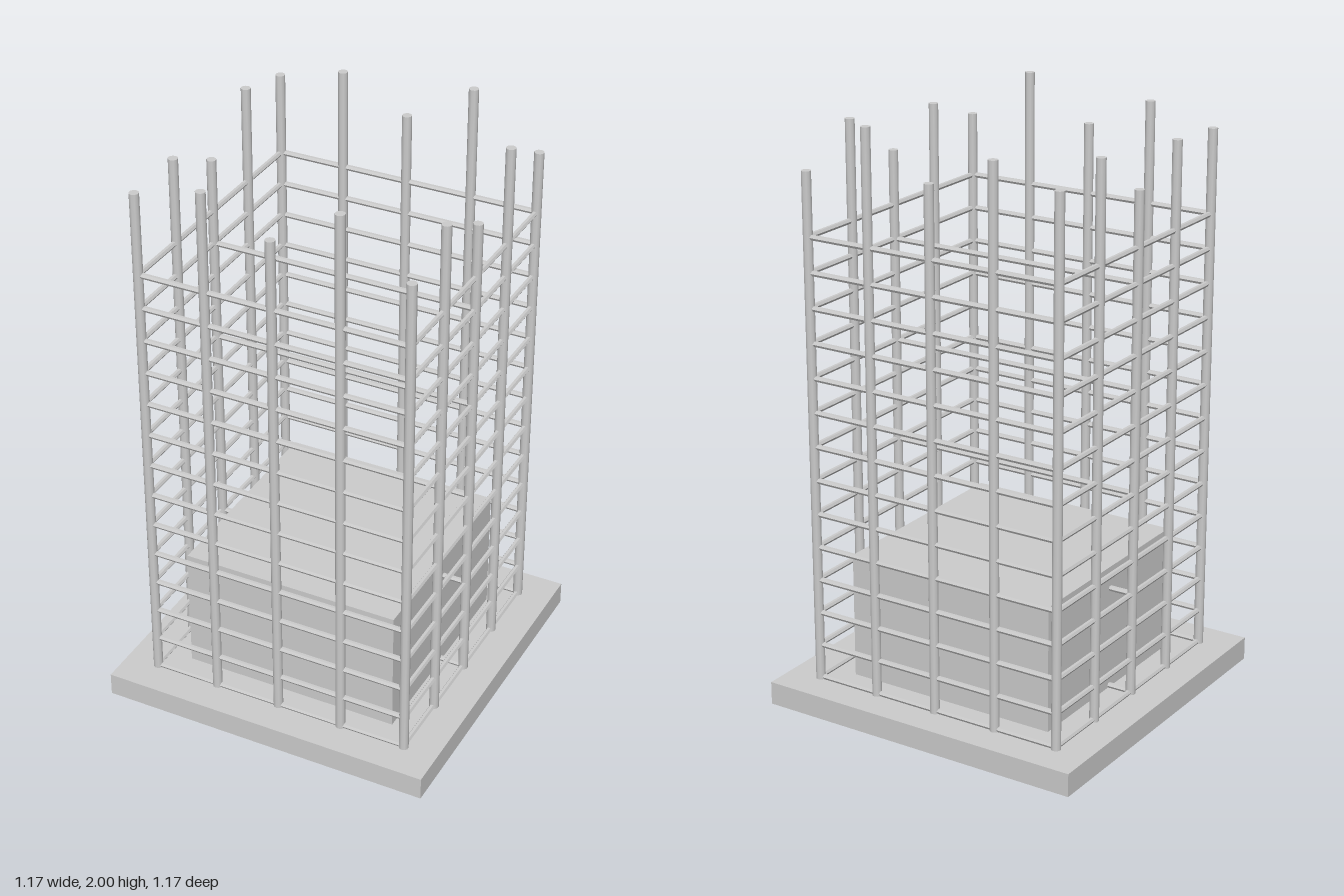
import * as THREE from 'three';

const material = new THREE.MeshStandardMaterial({ color: 0xcccccc });
const flatMaterial = new THREE.MeshStandardMaterial({ color: 0xcccccc, flatShading: true });

const BASE_TOP = 0.08;
const R = 0.465; // half width of the cage

function box(name, width, height, bottom) {
  const mesh = new THREE.Mesh(new THREE.BoxGeometry(width, height, width), material);
  mesh.name = name;
  mesh.position.y = bottom + height / 2;
  return mesh;
}

export function createModel() {
  const model = new THREE.Group();
  model.name = 'reinforcedColumn';

  // Footing slab and the cast stump inside the cage
  model.add(box('footingSlab', 1.168, BASE_TOP, 0));
  model.add(box('concreteStump', 0.764, 0.437, BASE_TOP));

  // Upright bars, each row cut to uneven lengths
  const bars = new THREE.Group();
  bars.name = 'uprightBars';
  const addBar = (x, z, top) => {
    const height = top - BASE_TOP;
    const bar = new THREE.Mesh(new THREE.CylinderGeometry(0.0165, 0.0165, height, 10), material);
    bar.name = 'uprightBar';
    bar.position.set(x, BASE_TOP + height / 2, z);
    bars.add(bar);
  };
  const rowTops = [1.9, 1.96, 1.855, 2, 1.83]; // along x
  const sideTops = [1.95, 1.8, 1.91]; // along z
  for (const side of [-1, 1]) {
    rowTops.forEach((top, i) => addBar((i / 2 - 1) * R, side * R, top));
    sideTops.forEach((top, i) => addBar(side * R, ((i - 1) / 2) * R, top));
  }
  model.add(bars);

  // Square ties at even spacing, with a cross tie on every third level
  const ties = new THREE.Group();
  ties.name = 'ties';
  const tieGeometry = new THREE.CylinderGeometry(0.0095, 0.0095, 2 * R, 6);
  tieGeometry.rotateZ(Math.PI / 2);
  const addTie = (name, x, y, z, turn) => {
    const tie = new THREE.Mesh(tieGeometry, flatMaterial);
    tie.name = name;
    tie.position.set(x, y, z);
    tie.rotation.y = turn;
    ties.add(tie);
  };
  for (let level = 0; level < 14; level++) {
    const y = 0.088 + level * 0.1175;
    for (const side of [-1, 1]) {
      addTie('rowTie', 0, y, side * R, 0);
      addTie('sideTie', side * R, y, 0, Math.PI / 2);
    }
    if (level % 3 === 0) addTie('crossTie', 0, y, 0, 0);
  }
  model.add(ties);

  return model;
}
